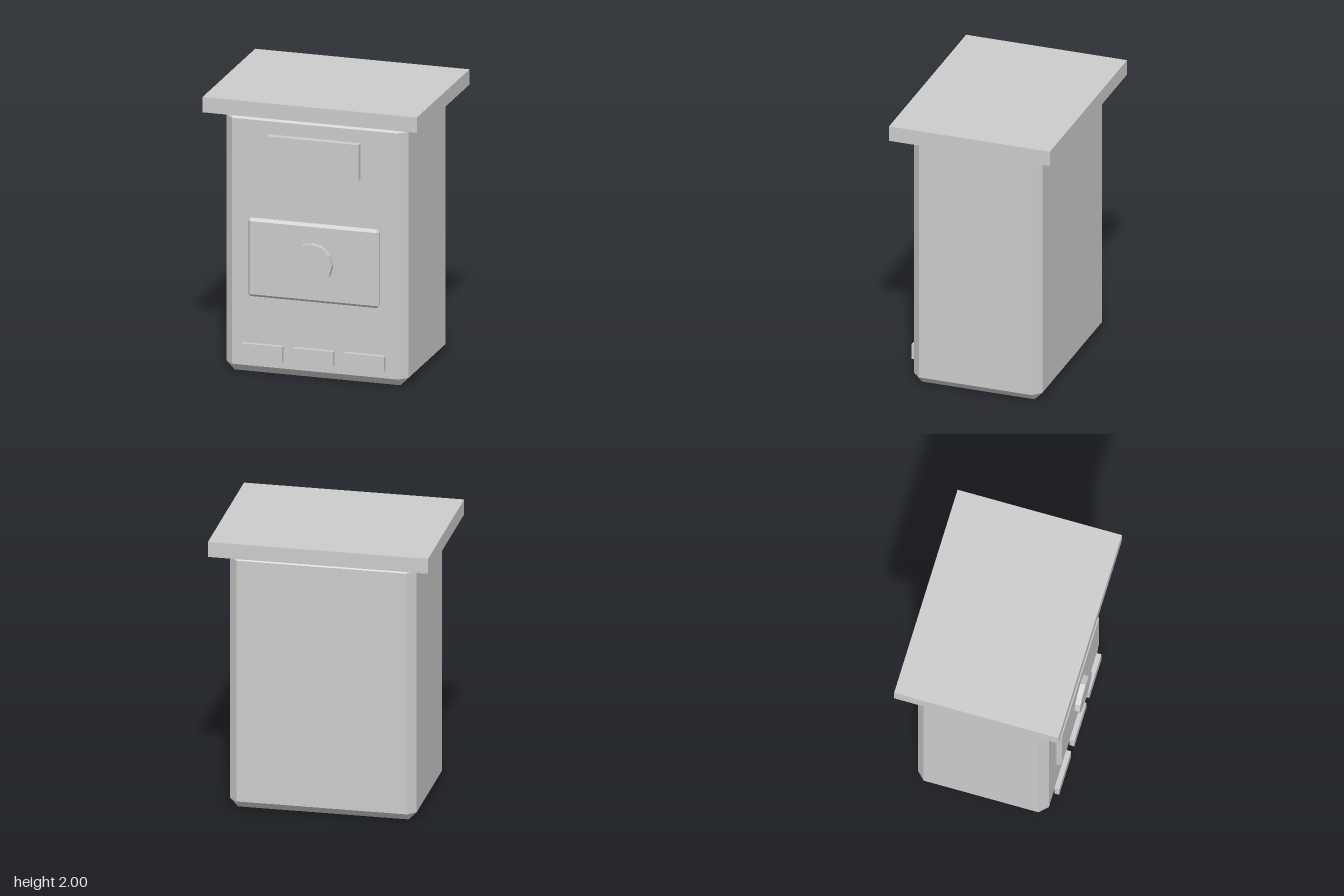
import * as THREE from 'three';
import { ConvexGeometry } from 'three/addons/geometries/ConvexGeometry.js';

// Box with every edge cut at 45 degrees and triangular corners
function chamferedBox(width, height, depth, cut) {
  const [x, y, z] = [width / 2, height / 2, depth / 2];
  const points = [];
  for (const sx of [-1, 1]) for (const sy of [-1, 1]) for (const sz of [-1, 1]) {
    points.push(
      new THREE.Vector3(sx * x, sy * (y - cut), sz * (z - cut)),
      new THREE.Vector3(sx * (x - cut), sy * y, sz * (z - cut)),
      new THREE.Vector3(sx * (x - cut), sy * (y - cut), sz * z)
    );
  }
  return new ConvexGeometry(points);
}

export function createModel() {
  const model = new THREE.Group();
  model.name = 'kiosk';
  const grey = new THREE.MeshStandardMaterial({ color: 0xcccccc, flatShading: true });
  grey.name = 'lightGrey';

  const add = (name, geometry, x, y, z) => {
    const mesh = new THREE.Mesh(geometry, grey);
    mesh.name = name;
    mesh.position.set(x, y, z);
    model.add(mesh);
    return mesh;
  };

  // Cabinet and overhanging roof slab
  add('cabinet', chamferedBox(1.316, 1.89, 0.94, 0.058), 0, 0.945, 0);
  add('roof', new THREE.BoxGeometry(1.552, 0.11, 1.18), 0, 1.945, 0);

  // Sign and bevelled panel on the front
  add('sign', new THREE.BoxGeometry(0.66, 0.26, 0.05), 0, 1.608, 0.495);
  add('panel', chamferedBox(0.95, 0.565, 0.05, 0.019), 0, 0.852, 0.495);

  // Twelve-sided knob facing forward
  const knob = new THREE.CylinderGeometry(0.149, 0.149, 0.04, 12).rotateX(Math.PI / 2);
  add('knob', knob, 0, 0.852, 0.538);

  // Row of buttons standing just clear of the cabinet
  ['rightButton', 'middleButton', 'leftButton'].forEach((name, i) => {
    add(name, new THREE.BoxGeometry(0.292, 0.11, 0.034), (i - 1) * 0.37, 0.173, 0.502);
  });

  return model;
}
